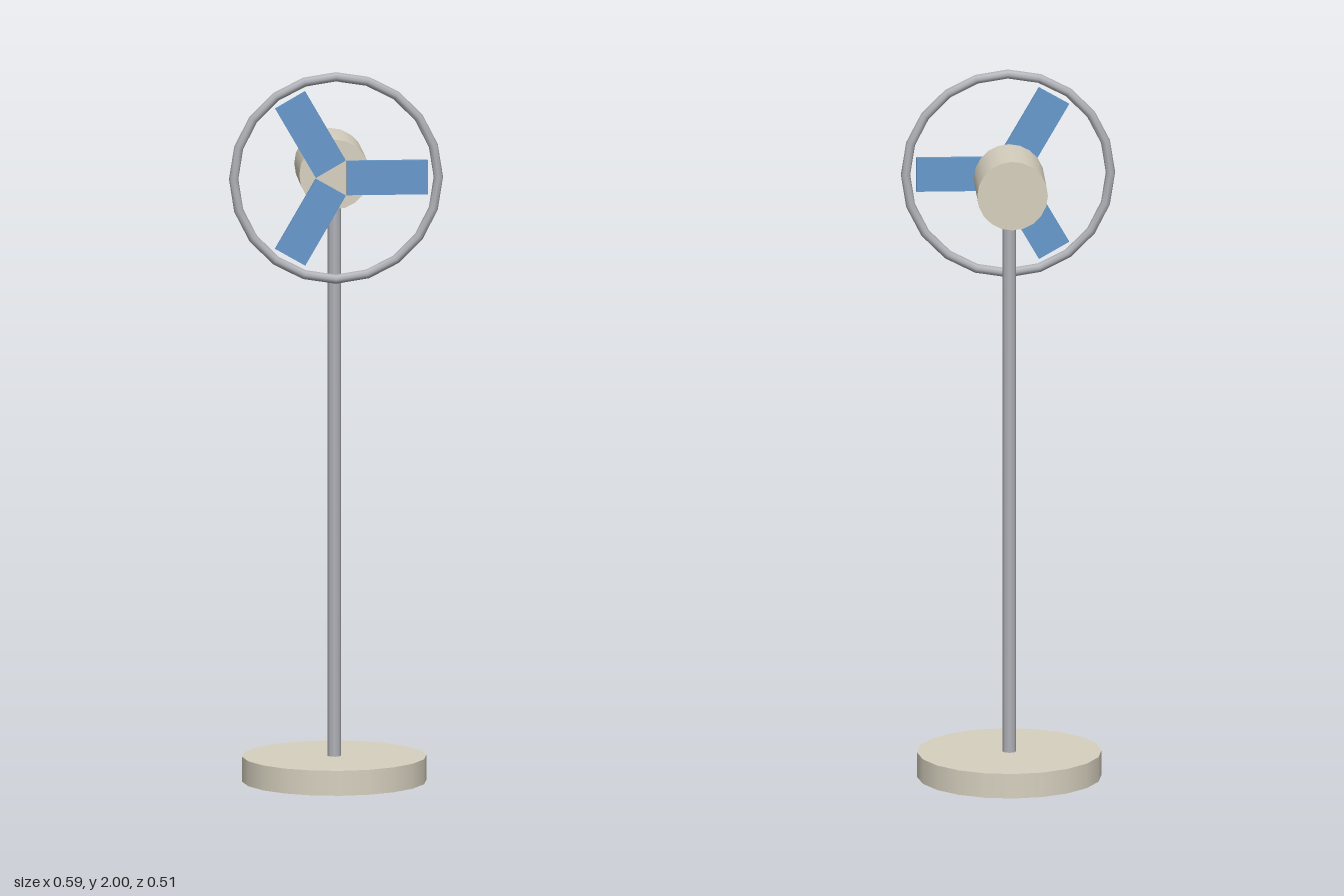
import * as THREE from 'three';

const material = (name, color) => {
  const m = new THREE.MeshStandardMaterial({ color });
  m.name = name;
  return m;
};

export function createModel() {
  const model = new THREE.Group();
  model.name = 'pedestalFan';
  const cream = material('cream', 0xd6d0be);
  const steel = material('steel', 0xb0b2b8);
  const blue = material('blue', 0x6699cc);

  const add = (name, geometry, mat, x, y, z, parent = model) => {
    const mesh = new THREE.Mesh(geometry, mat);
    mesh.name = name;
    mesh.position.set(x, y, z);
    parent.add(mesh);
    return mesh;
  };

  const axisY = 1.703;   // height of the fan axis
  const rotorZ = 0.07;   // plane of blades and ring

  // Stand
  add('base', new THREE.CylinderGeometry(0.256, 0.256, 0.07, 20), cream, 0, 0.035, 0);
  add('pole', new THREE.CylinderGeometry(0.019, 0.019, 1.56, 8), steel, 0, 0.85, 0);

  // Motor housing, lying along z
  const motor = add('motor', new THREE.CylinderGeometry(0.098, 0.098, 0.198, 20), cream, 0, axisY, -0.086);
  motor.rotation.x = Math.PI / 2;

  // Guard ring
  add('guardRing', new THREE.TorusGeometry(0.284, 0.013, 8, 20), steel, 0, axisY, rotorZ);

  // Three flat blades around the axis
  const blades = new THREE.Group();
  blades.name = 'blades';
  blades.position.set(0, axisY, rotorZ);
  model.add(blades);
  const bladeGeometry = new THREE.BoxGeometry(0.225, 0.096, 0.012).translate(0.142, 0, 0);
  for (let i = 0; i < 3; i++) {
    add('blade', bladeGeometry, blue, 0, 0, 0, blades).rotation.z = (i * Math.PI * 2) / 3;
  }

  return model;
}
